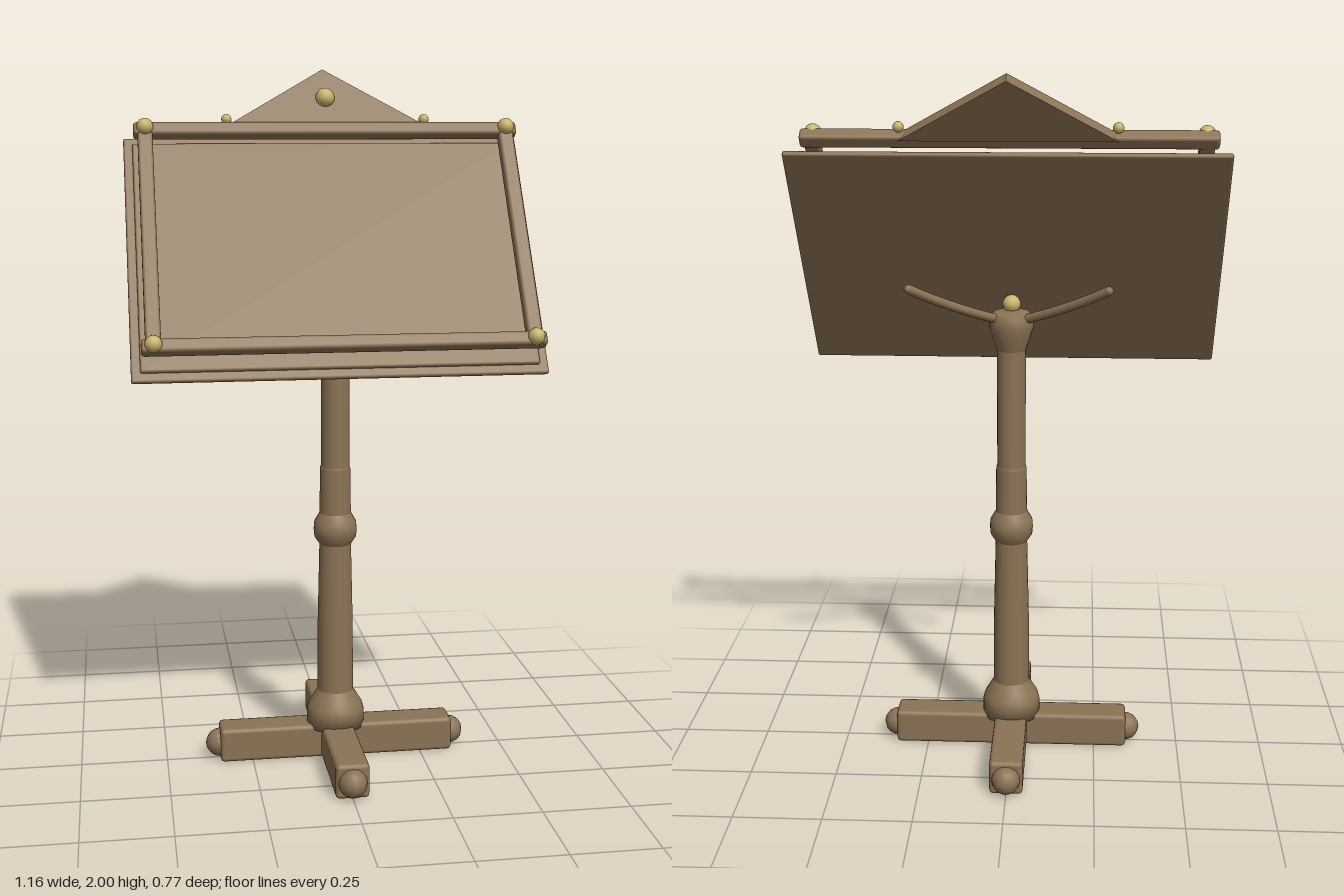
import * as THREE from 'three';
import { RoundedBoxGeometry } from 'three/addons/geometries/RoundedBoxGeometry.js';

export function createModel() {
  const model = new THREE.Group();
  model.name = 'lectern';
  const wood = new THREE.MeshStandardMaterial({ color: 0x8b7355 });
  wood.name = 'brown wood';
  const brass = new THREE.MeshStandardMaterial({ color: 0xc9b56b });
  brass.name = 'pale brass';

  const add = (parent, name, geometry, material, x = 0, y = 0, z = 0) => {
    const mesh = new THREE.Mesh(geometry, material);
    mesh.name = name;
    mesh.position.set(x, y, z);
    parent.add(mesh);
    return mesh;
  };
  const bar = (w, h, d, r) => new RoundedBoxGeometry(w, h, d, 2, r);
  const ball = (r) => new THREE.SphereGeometry(r, 12, 8);

  // Crossed feet with rounded knobs
  add(model, 'footAcross', bar(0.69, 0.1, 0.095, 0.012), wood, 0, 0.053, 0);
  add(model, 'footAlong', bar(0.095, 0.1, 0.69, 0.012), wood, 0, 0.053, 0);
  for (const s of [-1, 1]) {
    add(model, 'footKnobAcross', ball(0.041), wood, s * 0.345, 0.05, 0);
    add(model, 'footKnobAlong', ball(0.041), wood, 0, 0.05, s * 0.345);
  }

  // Turned post: each run of points is a separate lathe so its rims stay crisp
  const runs = {
    postFoot: [[0, 0.09], [0.085, 0.09], [0.085, 0.135], [0.08, 0.155], [0.065, 0.18], [0.053, 0.2]],
    lowerShaft: [[0.053, 0.19], [0.052, 0.4], [0.046, 0.66]],
    collar: [[0.046, 0.645], [0.061, 0.668], [0.063, 0.69], [0.061, 0.712], [0.046, 0.738]],
    middleShaft: [[0.046, 0.73], [0.044, 0.87]],
    upperShaft: [[0.044, 0.87], [0.041, 0.88], [0.041, 1.24]],
    head: [[0.041, 1.22], [0.05, 1.245], [0.062, 1.285], [0.062, 1.315], [0.05, 1.33], [0, 1.335]],
  };
  for (const [name, points] of Object.entries(runs)) {
    const profile = points.map(([r, y]) => new THREE.Vector2(r, y));
    add(model, name, new THREE.LatheGeometry(profile, 24), wood);
  }
  add(model, 'pivotBall', ball(0.026), brass, 0, 1.35, 0.01);

  // Two slim rods spreading up and back from the head
  for (const s of [-1, 1]) {
    const path = new THREE.QuadraticBezierCurve3(
      new THREE.Vector3(s * 0.03, 1.31, -0.02),
      new THREE.Vector3(s * 0.16, 1.36, -0.105),
      new THREE.Vector3(s * 0.27, 1.425, -0.17));
    add(model, 'supportRod', new THREE.TubeGeometry(path, 8, 0.013, 8), wood);
    const tip = path.getPoint(1);
    add(model, 'supportRodTip', new THREE.SphereGeometry(0.013, 8, 6), wood, tip.x, tip.y, tip.z);
  }

  // Tilted desk: local y runs up the slope, local z is the reading side
  const desk = new THREE.Group();
  desk.name = 'tiltedDesk';
  desk.position.set(0, 1.545, 0.0375);
  desk.rotation.x = -0.6;
  model.add(desk);

  add(desk, 'backBoard', bar(1.16, 0.777, 0.016, 0.006), wood, 0, -0.005, -0.108);
  add(desk, 'frontBoard', bar(1.11, 0.727, 0.016, 0.006), wood, 0, -0.005, -0.096);

  // Open frame in front of the boards
  for (const s of [-1, 1]) {
    add(desk, 'frameRail', bar(1.105, 0.04, 0.04, 0.009), wood, 0, s * 0.34, 0);
    add(desk, 'frameStile', bar(0.042, 0.7, 0.036, 0.008), wood, s * 0.52, 0, 0.002);
    for (const t of [-1, 1]) {
      add(desk, 'cornerStud', ball(0.024), brass, s * 0.52, t * 0.34, 0.022);
    }
  }

  // Triangular crest with studs
  const triangle = new THREE.Shape([
    new THREE.Vector2(-0.29, 0.35), new THREE.Vector2(0.29, 0.35), new THREE.Vector2(0, 0.546)]);
  const crest = new THREE.ExtrudeGeometry(triangle, { depth: 0.032, bevelEnabled: false });
  add(desk, 'crest', crest, wood, 0, 0, -0.023);
  add(desk, 'crestStud', ball(0.028), brass, 0, 0.444, 0.014);
  for (const s of [-1, 1]) add(desk, 'crestSideStud', ball(0.015), brass, s * 0.287, 0.385, -0.008);

  return model;
}
